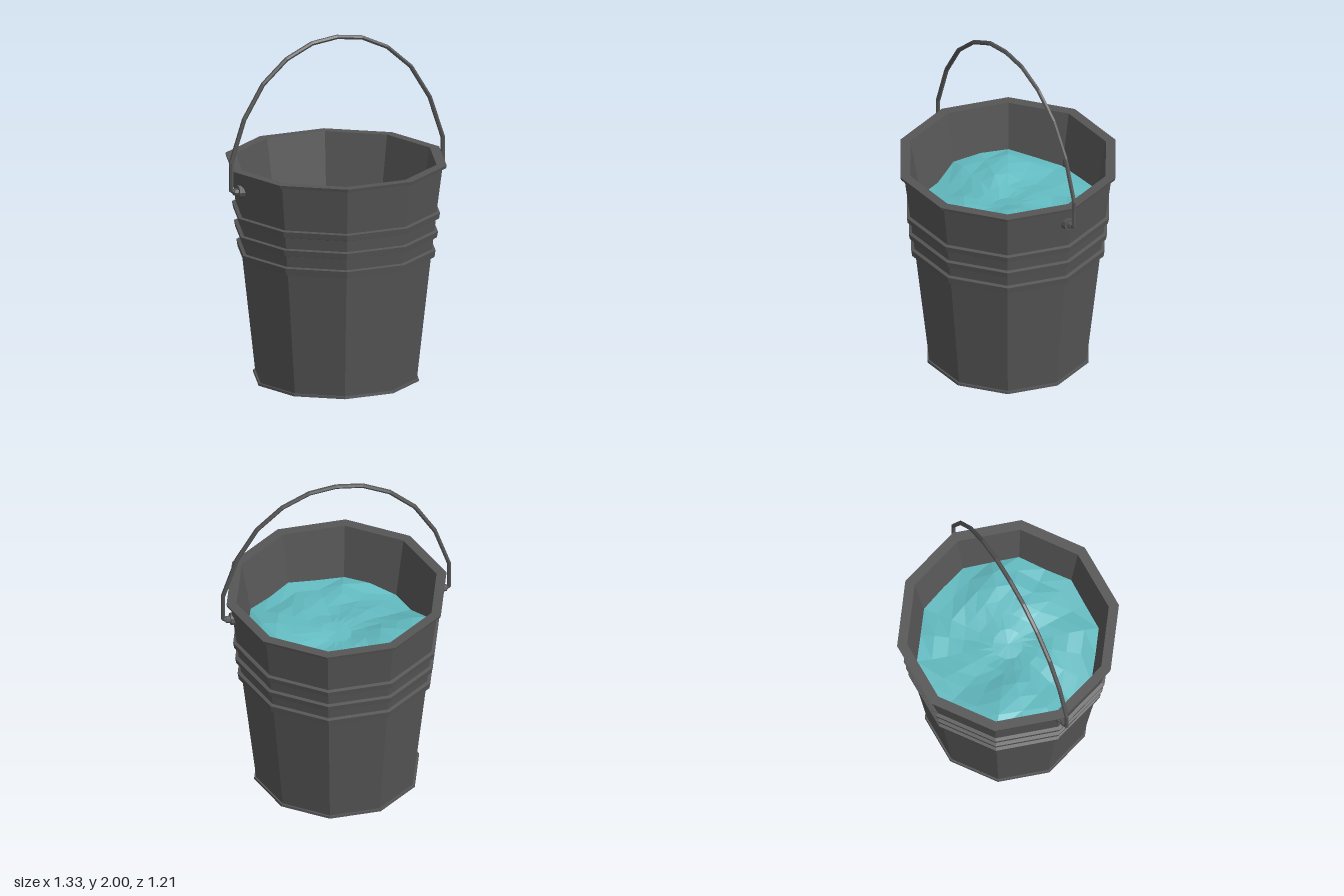
import * as THREE from 'three';

const SIDES = 10;
const RIM_Y = 1.27;
// Radius of the sloping inner wall at height y
const innerRadius = (y) => 0.578 - 0.18 * (RIM_Y - y);

// Curve that passes exactly through its points, keeping the bends angular
class BentWire extends THREE.Curve {
  constructor(points) {
    super();
    this.points = points;
  }
  at(i) {
    return this.points[THREE.MathUtils.clamp(i, 0, this.points.length - 1)];
  }
  index(t) {
    return Math.round(t * (this.points.length - 1));
  }
  getPoint(t, target = new THREE.Vector3()) {
    return target.copy(this.at(this.index(t)));
  }
  getPointAt(u, target) {
    return this.getPoint(u, target);
  }
  getTangentAt(u, target = new THREE.Vector3()) {
    const i = this.index(u);
    const before = this.at(i).clone().sub(this.at(i - 1)).normalize();
    const after = this.at(i + 1).clone().sub(this.at(i)).normalize();
    return target.copy(before).add(after).normalize();
  }
}

// Gentle swells plus small repeatable roughness
function waterHeight(x, z) {
  const bump = (cx, cz, w) => Math.exp(-((x - cx) ** 2 + (z - cz) ** 2) / (w * w));
  const rough = Math.sin(x * 17 + z * 9) * Math.cos(z * 15 - x * 6);
  return 0.955 + 0.065 * bump(-0.35, -0.18, 0.2) + 0.05 * bump(0.28, 0.1, 0.2)
    - 0.05 * bump(-0.45, 0.25, 0.15) + 0.012 * rough;
}

function createWaterGeometry() {
  const geometry = new THREE.RingGeometry(0, 1, SIDES * 2, 6);
  geometry.rotateX(-Math.PI / 2);
  const pos = geometry.attributes.position;
  const step = (Math.PI * 2) / SIDES;
  for (let i = 0; i < pos.count; i++) {
    const x = pos.getX(i), z = pos.getZ(i);
    const r = Math.hypot(x, z);
    // Pull the circle in to the ten-sided outline of the wall
    const a = Math.atan2(z, x) + Math.PI * 2 + 1e-6;
    const outline = Math.cos(step / 2) / Math.cos((a % step) - step / 2);
    const y = waterHeight(x * 0.52, z * 0.52);
    const k = outline * THREE.MathUtils.lerp(0.52, innerRadius(y) + 0.003, r);
    pos.setXYZ(i, x * k, y, z * k);
  }
  geometry.computeVertexNormals();
  return geometry;
}

export function createModel() {
  const model = new THREE.Group();
  model.name = 'bucket';

  const metal = new THREE.MeshStandardMaterial({ color: 0x555555, flatShading: true });
  metal.name = 'dark metal';
  const blue = new THREE.MeshStandardMaterial({ color: 0x62bbc1, flatShading: true });
  blue.name = 'water blue';

  const add = (name, geometry, material, parent = model) => {
    const mesh = new THREE.Mesh(geometry, material);
    mesh.name = name;
    parent.add(mesh);
    return mesh;
  };

  // Shell: foot, tapered wall with three raised bands, rim, inner wall and floor
  const profile = [
    [0, 0], [0.477, 0], [0.475, 0.014], [0.465, 0.014],
    [0.545, 0.725], [0.566, 0.73], [0.572, 0.77], [0.552, 0.775],
    [0.56, 0.84], [0.58, 0.846], [0.586, 0.88], [0.566, 0.885],
    [0.573, 0.95], [0.592, 0.956], [0.598, 0.99], [0.578, 0.995],
    [0.611, 1.25], [0.632, 1.252], [0.636, RIM_Y],
    [innerRadius(RIM_Y), RIM_Y], [innerRadius(0.05), 0.05], [0, 0.05],
  ].map(([r, y]) => new THREE.Vector2(r, y));
  add('shell', new THREE.LatheGeometry(profile, SIDES, Math.PI / SIDES), metal);

  // Faceted water surface
  add('water', createWaterGeometry(), blue);

  // Bent wire handle, mirrored about its top point
  const half = [
    [0.595, 1.153], [0.635, 1.153], [0.652, 1.165], [0.653, 1.325], [0.572, 1.57],
    [0.455, 1.763], [0.31, 1.893], [0.153, 1.967],
  ];
  const path = [
    ...half.map(([x, y]) => [-x, y]),
    [0, 1.987],
    ...half.slice().reverse(),
  ].map(([x, y]) => new THREE.Vector3(x, y, 0.013));
  add('handle', new THREE.TubeGeometry(new BentWire(path), path.length - 1, 0.013, 6, false), metal);

  // Round lugs that hold the handle ends
  for (const side of [-1, 1]) {
    const lug = new THREE.Group();
    lug.name = side > 0 ? 'leftLug' : 'rightLug';
    lug.position.set(side * 0.596, 1.153, 0.013);
    lug.rotation.z = -side * Math.PI / 2;
    add('lugPlate', new THREE.CylinderGeometry(0.036, 0.04, 0.032, 10), metal, lug);
    add('lugCollar', new THREE.CylinderGeometry(0.02, 0.02, 0.03, 8), metal, lug).position.y = 0.026;
    model.add(lug);
  }

  return model;
}
